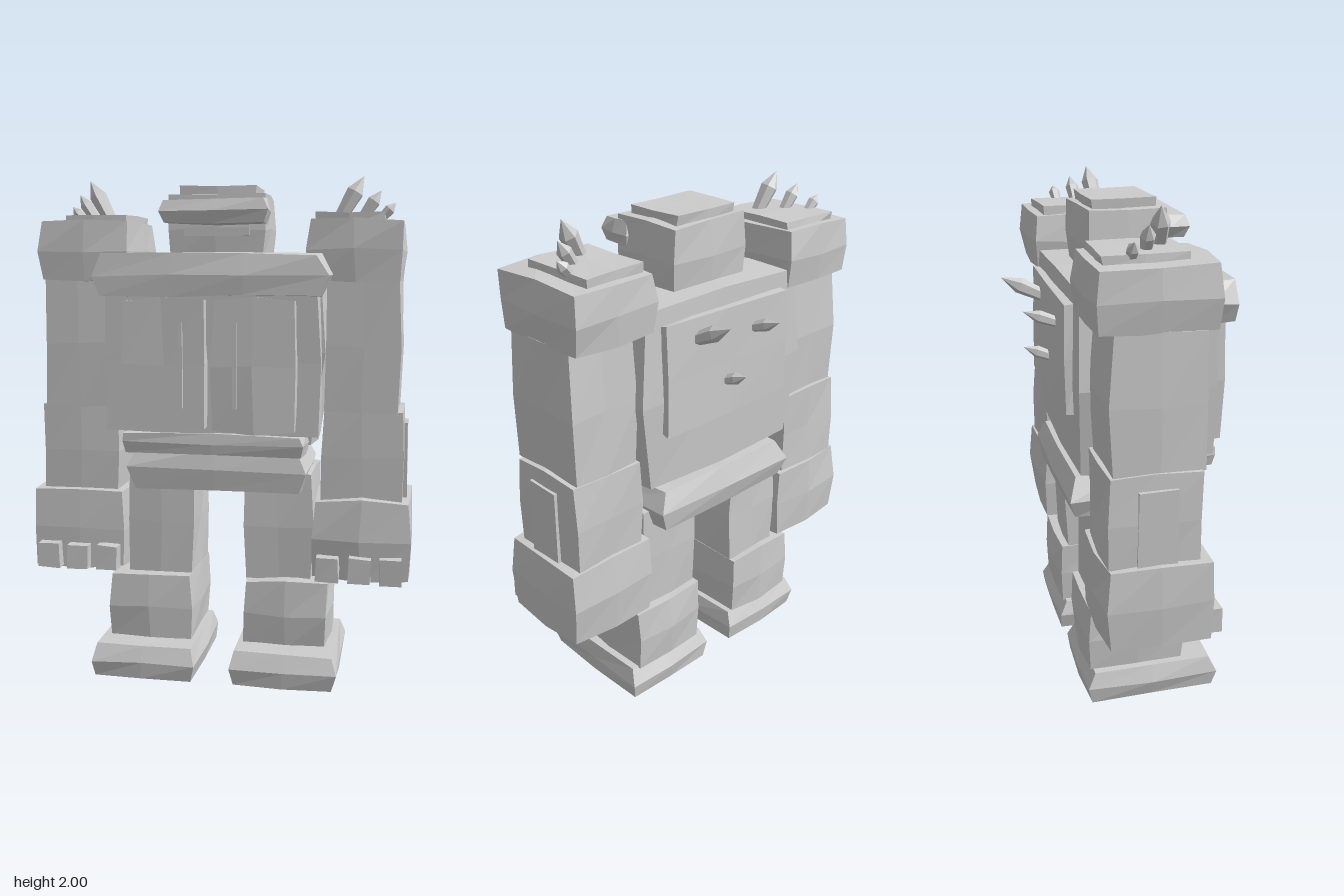
import * as THREE from 'three';

const stone = new THREE.MeshStandardMaterial({ color: 0xcccccc, flatShading: true });
stone.name = 'grey stone';

// Repeatable hash in -1..1 for the uneven, hand-cut surfaces
const noise = (a, b, c, s) => {
  const v = Math.sin(a * 12.99 + b * 78.23 + c * 37.72 + s * 19.19) * 43758.5453;
  return (v - Math.floor(v)) * 2 - 1;
};
let seed = 1;

// Rough-hewn block from min/max ranges; bulge insets edges, top/bottom = [scaleX, scaleZ]
function block(parent, name, [x0, x1], [y0, y1], [z0, z1], opt = {}) {
  const { bulge = 0.05, rough = 0.007, segs = [2, 2, 2], top = [1, 1], bottom = [1, 1] } = opt;
  const size = [x1 - x0, y1 - y0, z1 - z0];
  const geo = new THREE.BoxGeometry(2, 2, 2, ...segs);
  const p = geo.attributes.position;
  const s = seed++;
  for (let i = 0; i < p.count; i++) {
    const g = [p.getX(i), p.getY(i), p.getZ(i)].map(n => Math.round(n * 100) / 100);
    const q = g.map((n, k) => {
      const others = g.reduce((t, m, j) => t + (j === k ? 0 : m * m), 0) / 2;
      const inset = Math.min(bulge * size[k] * 0.5, 0.025) * others;
      const wobble = Math.min(rough, size[k] * 0.08) * noise(g[0], g[1], g[2], s + k * 7.3);
      return n * (size[k] / 2 - inset) + wobble;
    });
    // linear blend from the middle to the top or bottom scale
    const end = g[1] > 0 ? top : bottom, t = Math.abs(g[1]);
    q[0] *= 1 + (end[0] - 1) * t;
    q[2] *= 1 + (end[1] - 1) * t;
    p.setXYZ(i, q[0], q[1], q[2]);
  }
  geo.computeVertexNormals();
  const mesh = new THREE.Mesh(geo, stone);
  mesh.name = name;
  mesh.position.set((x0 + x1) / 2, (y0 + y1) / 2, (z0 + z1) / 2);
  parent.add(mesh);
  return mesh;
}

// Six-sided crystal growing from one point to another
function crystal(parent, name, from, to, r) {
  const a = new THREE.Vector3(...from), b = new THREE.Vector3(...to);
  const len = a.distanceTo(b);
  const profile = [[0, 0], [r * 0.75, 0], [r, len * 0.62], [0, len]];
  const geo = new THREE.LatheGeometry(profile.map(c => new THREE.Vector2(...c)), 6);
  const mesh = new THREE.Mesh(geo, stone);
  mesh.name = name;
  mesh.position.copy(a);
  mesh.quaternion.setFromUnitVectors(new THREE.Vector3(0, 1, 0), b.sub(a).normalize());
  parent.add(mesh);
}

const group = (parent, name) => {
  const g = new THREE.Group();
  g.name = name;
  parent.add(g);
  return g;
};

export function createModel() {
  const model = new THREE.Group();
  model.name = 'stoneGolem';
  seed = 1;

  // Torso core, waist and pelvis
  const torso = group(model, 'torso');
  block(torso, 'torsoCore', [-0.44, 0.44], [0.94, 1.7], [-0.215, 0.21], { top: [0.95, 1], bottom: [0.9, 0.93] });
  block(torso, 'waistLip', [-0.36, 0.37], [0.935, 1.015], [0.1, 0.36], { bottom: [0.98, 0.92] });
  block(torso, 'pelvis', [-0.37, 0.365], [0.765, 0.94], [-0.24, 0.24], { top: [0.92, 0.9], bottom: [0.96, 0.94] });

  // Chest frame, doors, door slots and collar
  block(torso, 'chestFrame', [-0.43, 0.43], [1.0, 1.58], [0.15, 0.325], { segs: [2, 2, 1] });
  for (const s of [-1, 1]) {
    const x = [0.005, 0.345].map(v => v * s).sort((a, b) => a - b);
    block(torso, 'chestDoor', x, [1.015, 1.545], [0.2, 0.385], { segs: [2, 2, 1], bulge: 0.08 });
    block(torso, 'doorSlot', [s * 0.105 - 0.009, s * 0.105 + 0.009], [1.12, 1.445], [0.36, 0.392], { segs: [1, 1, 1], bulge: 0, rough: 0 });
  }
  block(torso, 'collar', [-0.465, 0.46], [1.54, 1.7], [0.17, 0.39], { segs: [3, 2, 2], top: [0.93, 0.92], bottom: [0.94, 0.98] });

  // Back plate with crystals
  block(torso, 'backPlate', [-0.33, 0.34], [1.18, 1.63], [-0.238, -0.18], { segs: [2, 2, 1], bulge: 0.04 });
  crystal(torso, 'backCrystal', [0.17, 1.525, -0.2], [0.17, 1.62, -0.395], 0.032);
  crystal(torso, 'backCrystal', [-0.135, 1.495, -0.2], [-0.135, 1.555, -0.36], 0.025);
  crystal(torso, 'backCrystal', [0.015, 1.315, -0.2], [0.015, 1.37, -0.335], 0.024);

  // Head with crown plate, brow and mouth
  const head = group(model, 'head');
  block(head, 'skull', [-0.205, 0.195], [1.66, 1.935], [-0.125, 0.195], { bulge: 0.07 });
  block(head, 'crownPlate', [-0.16, 0.15], [1.91, 1.965], [-0.1, 0.165], { segs: [2, 1, 2] });
  block(head, 'brow', [-0.22, 0.21], [1.815, 1.91], [0.12, 0.265], { top: [0.94, 0.8], bottom: [0.94, 0.85] });
  block(head, 'mouthPlate', [-0.13, 0.13], [1.77, 1.802], [0.17, 0.202], { segs: [1, 1, 1], bulge: 0, rough: 0 });

  // Arms and legs, mirrored
  for (const s of [-1, 1]) {
    const side = s > 0 ? 'left' : 'right';
    const m = (a, b) => (s > 0 ? [a, b] : [-b, -a]);

    const arm = group(model, side + 'Arm');
    block(arm, 'shoulder', m(0.345, 0.725), [1.595, 1.835], [-0.225, 0.235], { bulge: 0.08, bottom: [0.98, 0.98] });
    block(arm, 'shoulderPlate', m(0.37, 0.645), [1.81, 1.86], [-0.185, 0.145], { segs: [2, 1, 2] });
    crystal(arm, 'shoulderCrystal', [s * 0.465, 1.84, 0.07], [s * 0.555, 2, 0.05], 0.036);
    crystal(arm, 'shoulderCrystal', [s * 0.545, 1.84, 0.0], [s * 0.62, 1.95, -0.01], 0.028);
    crystal(arm, 'shoulderCrystal', [s * 0.615, 1.84, -0.07], [s * 0.675, 1.905, -0.075], 0.024);
    block(arm, 'upperArm', m(0.42, 0.72), [1.08, 1.62], [-0.17, 0.195], { top: [0.96, 0.96] });
    block(arm, 'forearm', m(0.41, 0.74), [0.72, 1.105], [-0.18, 0.175]);
    block(arm, 'forearmPlate', m(0.7, 0.748), [0.72, 1.04], [-0.07, 0.08], { segs: [1, 1, 1], bulge: 0, rough: 0.003 });
    block(arm, 'fist', m(0.372, 0.78), [0.41, 0.755], [-0.2, 0.225], { bulge: 0.09 });
    for (const x of [0.45, 0.575, 0.695]) {
      block(arm, 'finger', m(x - 0.047, x + 0.047), [0.422, 0.53], [0.15, 0.265], { bulge: 0.08, rough: 0.004, segs: [1, 1, 1] });
    }

    const leg = group(model, side + 'Leg');
    block(leg, 'thigh', m(0.105, 0.385), [0.38, 0.85], [-0.155, 0.165]);
    block(leg, 'shin', m(0.1, 0.458), [0.12, 0.41], [-0.19, 0.22], { bulge: 0.08 });
    block(leg, 'foot', m(0.068, 0.5), [0, 0.14], [-0.2, 0.35], { bulge: 0.04, rough: 0.005, top: [0.94, 0.9], bottom: [0.96, 0.98] });
  }
  return model;
}
